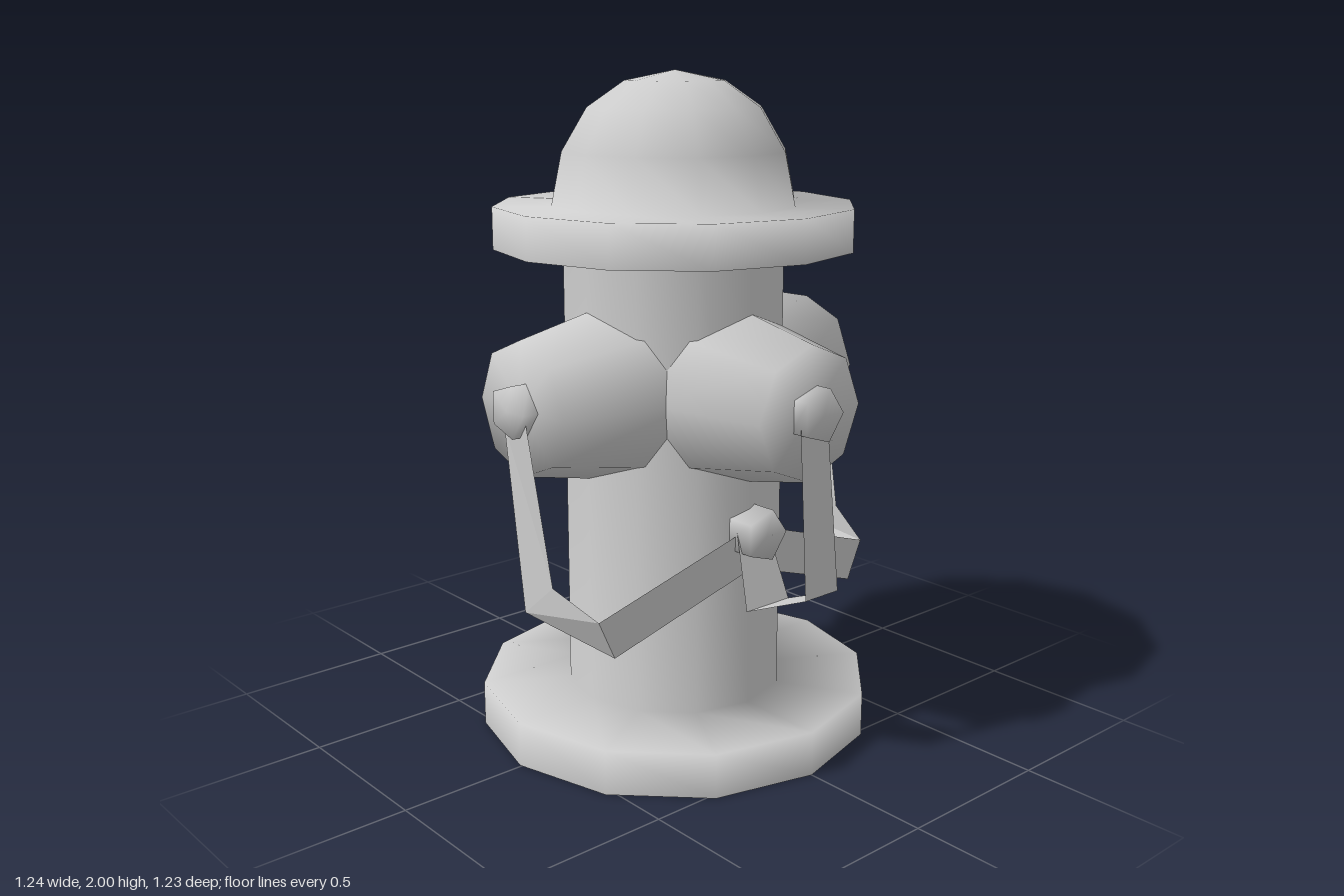
import * as THREE from 'three';

const paint = new THREE.MeshStandardMaterial({ color: 0xcccccc, side: THREE.DoubleSide });
paint.name = 'grey paint';

function lathe(name, points, sides, phiStart = 0) {
  const profile = points.map(([r, y]) => new THREE.Vector2(r, y));
  const mesh = new THREE.Mesh(new THREE.LatheGeometry(profile, sides, phiStart), paint);
  mesh.name = name;
  return mesh;
}

// Flat bent ribbon through pairs of edge points
function ribbon(name, pairs) {
  const pos = [];
  for (let i = 0; i < pairs.length - 1; i++) {
    const [a, b] = pairs[i], [c, d] = pairs[i + 1];
    pos.push(...a, ...c, ...b, ...b, ...c, ...d);
  }
  const geo = new THREE.BufferGeometry();
  geo.setAttribute('position', new THREE.Float32BufferAttribute(pos, 3));
  geo.computeVertexNormals();
  const mesh = new THREE.Mesh(geo, paint);
  mesh.name = name;
  return mesh;
}

// Five-sided bolt pointing along +z
function bolt(name, y, z0, z1) {
  const mesh = lathe(name, [[0.08, z0], [0.08, z1], [0, z1]], 5, Math.PI / 2);
  mesh.rotation.x = Math.PI / 2;
  mesh.position.y = y;
  return mesh;
}

export function createModel() {
  const model = new THREE.Group();
  model.name = 'hydrant';

  // Hollow foot flange and barrel in one shell
  model.add(lathe('barrel', [[0.607, 0], [0.607, 0.135], [0.335, 0.135], [0.335, 1.612]], 12));

  // Hollow brim with the dome on top
  model.add(lathe('bonnet', [
    [0.54, 1.49], [0.54, 1.615], [0.367, 1.615], [0.335, 1.77], [0.26, 1.895], [0.15, 1.97], [0, 2],
  ], 12));

  // Outlets at the front and both sides, each with its bolt
  for (const [side, angle] of [['front', 0], ['left', Math.PI / 2], ['right', -Math.PI / 2]]) {
    const outlet = new THREE.Group();
    outlet.name = side + 'Outlet';
    const nozzle = lathe(side + 'Nozzle', [[0.28, 0.18], [0.197, 0.57], [0, 0.57]], 8);
    nozzle.rotation.x = Math.PI / 2;
    nozzle.position.y = 1.078;
    outlet.add(nozzle, bolt(side + 'Bolt', 1.08, 0.56, 0.62));
    outlet.rotation.y = angle;
    model.add(outlet);
  }

  // Boss that holds the lower strap ends
  model.add(bolt('strapBoss', 0.68, 0.28, 0.407));

  // Side straps, mirrored
  const sidePairs = [
    [[0.595, 1.05, 0.055], [0.595, 1.03, -0.05]],
    [[0.58, 0.59, 0.145], [0.612, 0.5, 0.055]],
    [[0.535, 0.52, 0.295], [0.48, 0.4, 0.295]],
    [[0, 0.7, 0.35], [0, 0.565, 0.345]],
  ];
  for (const s of [1, -1]) {
    model.add(ribbon(s > 0 ? 'leftStrap' : 'rightStrap',
      sidePairs.map((pair) => pair.map(([x, y, z]) => [s * x, y, z]))));
  }

  // Front strap
  model.add(ribbon('frontStrap', [
    [[-0.068, 1.05, 0.6], [0.042, 1.03, 0.6]],
    [[-0.035, 0.545, 0.6], [0.097, 0.545, 0.6]],
    [[-0.1, 0.48, 0.43], [0.07, 0.48, 0.43]],
    [[-0.065, 0.69, 0.35], [0.055, 0.69, 0.35]],
  ]));

  model.position.z = -0.006;
  const root = new THREE.Group();
  root.add(model);
  return root;
}
